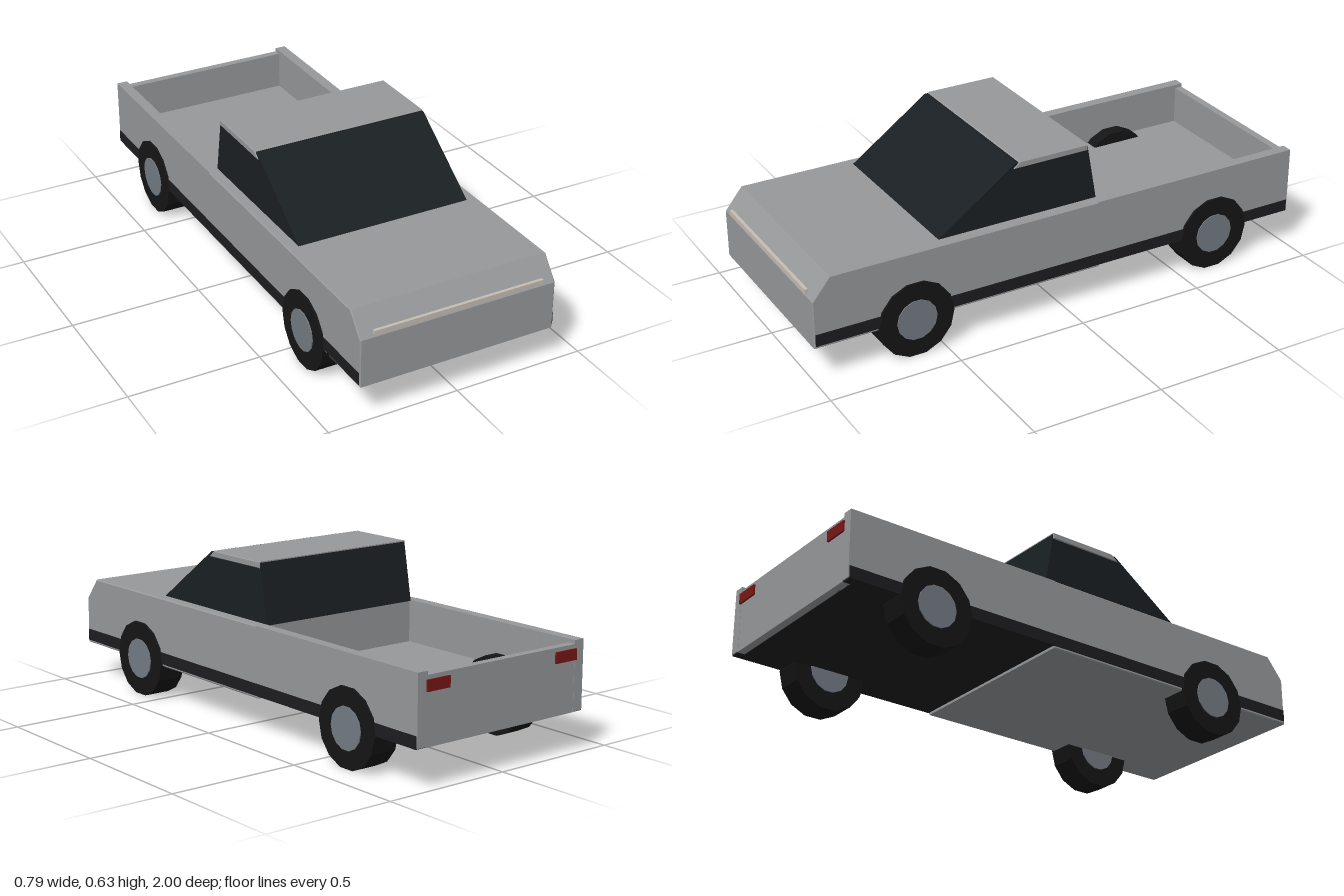
import * as THREE from 'three';

const mat = (color) => new THREE.MeshStandardMaterial({ color, flatShading: true });

export function createModel() {
  const truck = new THREE.Group();
  const paint = mat(0x96989a), glass = mat(0x1a1f23), dark = mat(0x1d1d20);
  const rubber = mat(0x151515), hubGrey = mat(0x737b83), red = mat(0x7a1616), cream = mat(0xc5beb4);

  const add = (name, geometry, material, parent = truck) => {
    const mesh = new THREE.Mesh(geometry, material);
    mesh.name = name;
    parent.add(mesh);
    return mesh;
  };

  // Box given by its limits on each axis
  const box = (name, [x0, x1], [y0, y1], [z0, z1], material) => {
    const mesh = add(name, new THREE.BoxGeometry(x1 - x0, y1 - y0, z1 - z0), material);
    mesh.position.set((x0 + x1) / 2, (y0 + y1) / 2, (z0 + z1) / 2);
  };

  // Side profile of [z, y] points, extruded across the width with a small bevel
  const profile = (name, points, halfWidth, bevel, material) => {
    const shape = new THREE.Shape(points.map(([z, y]) => new THREE.Vector2(-z, y)));
    const geometry = new THREE.ExtrudeGeometry(shape, {
      depth: 2 * (halfWidth - bevel), bevelEnabled: bevel > 0, bevelSegments: 1,
      bevelSize: bevel, bevelThickness: bevel, bevelOffset: -bevel,
    });
    geometry.translate(0, 0, bevel - halfWidth);
    geometry.rotateY(Math.PI / 2);
    add(name, geometry, material);
  };

  // Front body with sloping nose
  profile('frontBody', [[0.998, 0.137], [0.998, 0.32], [0.93, 0.404], [-0.14, 0.404], [-0.14, 0.137]],
    0.382, 0.004, paint);
  box('lightBar', [-0.33, 0.33], [0.327, 0.345], [0.988, 1], cream);

  // Cabin glass and roof
  profile('cabinGlass', [[0.503, 0.4], [0.19, 0.622], [-0.105, 0.622], [-0.145, 0.4]], 0.341, 0, glass);
  profile('roof', [[0.2, 0.602], [0.172, 0.626], [-0.105, 0.626], [-0.105, 0.602]], 0.345, 0.003, paint);

  // Load bed
  box('bedFloor', [-0.36, 0.36], [0.155, 0.242], [-0.98, -0.13], paint);
  box('tailgate', [-0.345, 0.345], [0.147, 0.39], [-0.993, -0.963], paint);

  // Dark sill running along the underside
  box('sill', [-0.385, 0.385], [0.147, 0.192], [-0.99, 0.993], dark);

  for (const side of [-1, 1]) {
    const span = (a, b) => (side > 0 ? [a, b] : [-b, -a]);
    box('bedSide', span(0.34, 0.382), [0.15, 0.404], [-0.994, -0.13], paint);
    box('tailLight', span(0.245, 0.345), [0.335, 0.375], [-1, -0.98], red);

    // Wheels: faceted tyre with a slightly wider hub
    for (const z of [0.612, -0.646]) {
      const wheel = new THREE.Group();
      wheel.name = z > 0 ? 'frontWheel' : 'rearWheel';
      wheel.position.set(side * 0.338, 0.143, z);
      const tyre = new THREE.CylinderGeometry(0.1467, 0.1467, 0.104, 14);
      const hub = new THREE.CylinderGeometry(0.078, 0.078, 0.112, 14);
      for (const g of [tyre, hub]) g.rotateZ(Math.PI / 2);
      add('tyre', tyre, rubber, wheel);
      add('hub', hub, hubGrey, wheel);
      truck.add(wheel);
    }
  }
  return truck;
}
